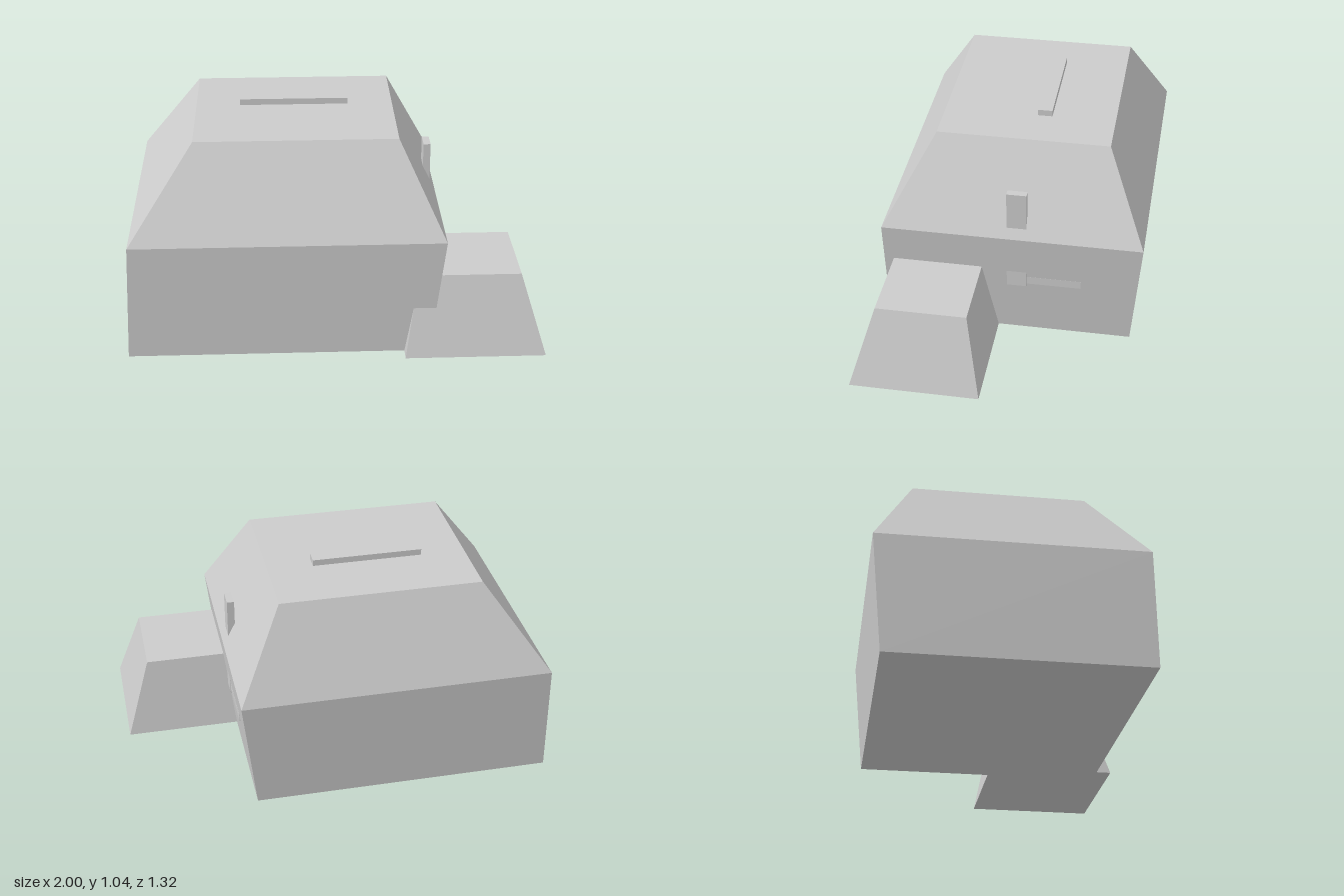
import * as THREE from 'three';

// Flat-faced solid lofted through rectangles [y, xMin, xMax, zMin, zMax], bottom to top.
function loftBox(levels) {
  const rings = levels.map(([y, x0, x1, z0, z1]) =>
    [[x0, y, z1], [x1, y, z1], [x1, y, z0], [x0, y, z0]]);
  const pos = [];
  const quad = (a, b, c, d) => pos.push(...a, ...b, ...c, ...a, ...c, ...d);
  for (let r = 0; r < rings.length - 1; r++) {
    const lo = rings[r], hi = rings[r + 1];
    for (let i = 0; i < 4; i++) {
      const j = (i + 1) % 4;
      quad(lo[i], lo[j], hi[j], hi[i]);
    }
  }
  const top = rings[rings.length - 1];
  quad(top[0], top[1], top[2], top[3]);
  const base = rings[0];
  quad(base[3], base[2], base[1], base[0]);
  const geometry = new THREE.BufferGeometry();
  geometry.setAttribute('position', new THREE.Float32BufferAttribute(pos, 3));
  geometry.computeVertexNormals();
  return geometry;
}

// Box geometry given by its limits.
function limitsBox(x0, x1, y0, y1, z0, z1) {
  return new THREE.BoxGeometry(x1 - x0, y1 - y0, z1 - z0)
    .translate((x0 + x1) / 2, (y0 + y1) / 2, (z0 + z1) / 2);
}

export function createModel() {
  const group = new THREE.Group();
  const grey = new THREE.MeshStandardMaterial({ color: 0xcccccc });
  grey.name = 'light grey';

  const add = (name, geometry) => {
    const mesh = new THREE.Mesh(geometry, grey);
    mesh.name = name;
    group.add(mesh);
  };

  // Main building: leaning walls, then the hipped roof with a flat top
  add('mainBuilding', loftBox([
    [0, -1, 0.445, -0.615, 0.588],
    [0.58, -0.975, 0.515, -0.663, 0.59],
    [1.01, -0.665, 0.3, -0.472, 0.35],
  ]));

  // Tapered annex at the front corner
  add('annex', loftBox([
    [0, 0.325, 1, 0.038, 0.66],
    [0.385, 0.39, 0.88, 0.11, 0.543],
  ]));

  // Low ridge on the flat roof
  add('roofRidge', limitsBox(-0.45, 0.08, 1.0, 1.04, -0.168, -0.098));

  // Upright flue that passes through the eave, and the thin rail beside it
  add('flue', limitsBox(0.455, 0.49, 0.29, 0.82, -0.107, -0.012));
  add('wallRail', limitsBox(0.455, 0.487, 0.305, 0.345, -0.37, -0.06));

  return group;
}
